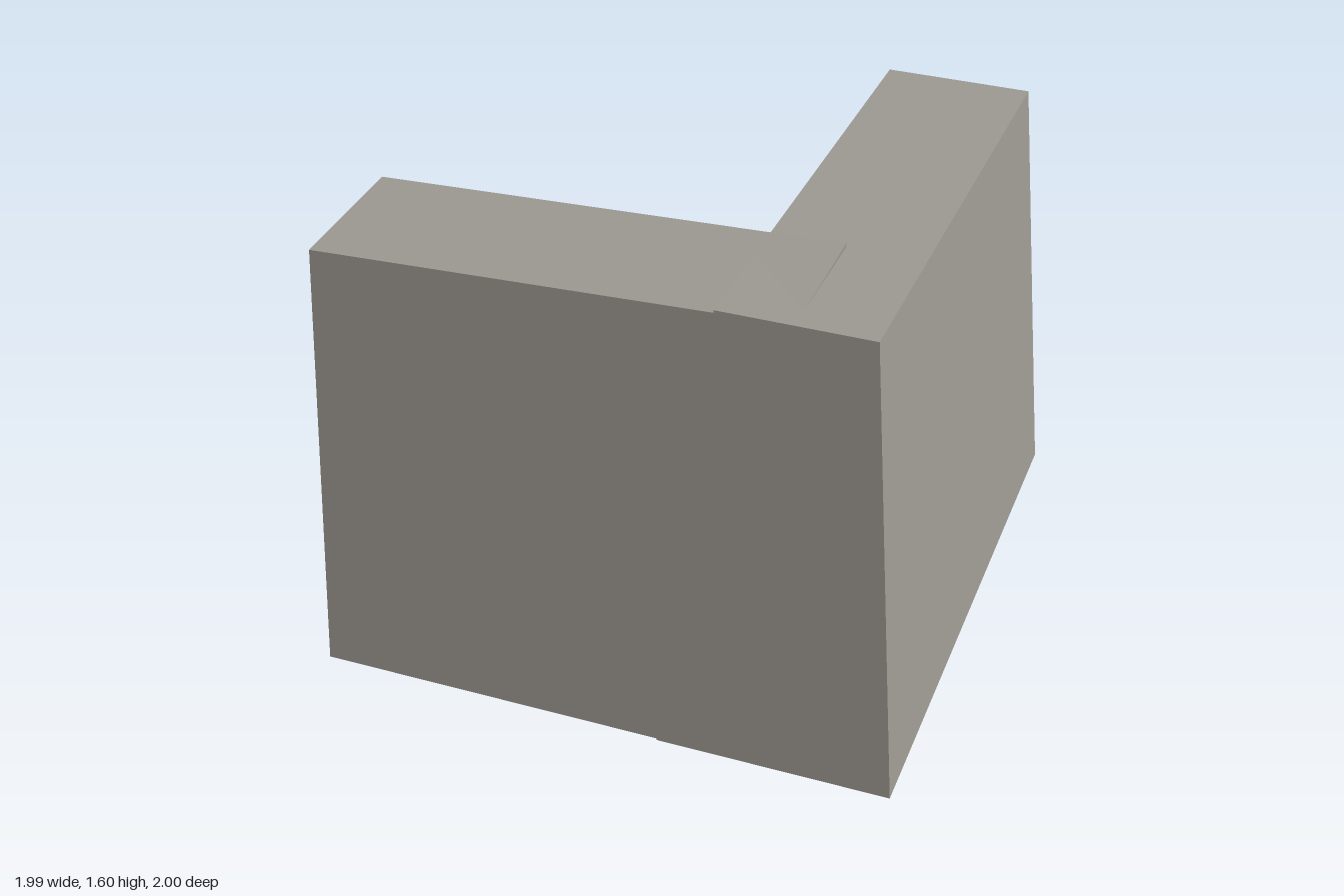
import * as THREE from 'three';

const stone = new THREE.MeshStandardMaterial({ color: 0x9d9992 });
stone.name = 'greyStone';

// Solid between two four-cornered ends; each end runs
// low left, low right, high right, high left as seen from the near end.
function wallGeometry(far, near) {
  const quads = [
    near,
    [far[1], far[0], far[3], far[2]],
    [near[3], near[2], far[2], far[3]], // top
    [far[0], far[1], near[1], near[0]], // bottom
    [near[1], far[1], far[2], near[2]],
    [far[0], near[0], near[3], far[3]],
  ];
  const points = quads.flatMap(([a, b, c, d]) => [a, b, c, a, c, d]).flat();
  const geometry = new THREE.BufferGeometry();
  geometry.setAttribute('position', new THREE.Float32BufferAttribute(points, 3));
  geometry.computeVertexNormals();
  return geometry;
}

export function createModel() {
  const group = new THREE.Group();
  group.name = 'cornerWall';

  // Tapered wall running front to back, with a battered front end
  const sideEnd = (zLow, zHigh, y) => [
    [0.2, 0, zLow], [0.993, 0, zLow], [0.847, y, zHigh], [0.342, y, zHigh],
  ];
  const sideWall = new THREE.Mesh(
    wallGeometry(sideEnd(-1, -1, 1.527), sideEnd(1, 0.853, 1.6)), stone);
  sideWall.name = 'sideWall';

  // Tapered wall running left to right, its end buried in the corner
  const frontEnd = (x, y) => [
    [x, 0, 0.993], [x, 0, 0.2], [x, y, 0.342], [x, y, 0.845],
  ];
  const frontWall = new THREE.Mesh(
    wallGeometry(frontEnd(-0.998, 1.53), frontEnd(0.59, 1.596)), stone);
  frontWall.name = 'frontWall';

  group.add(sideWall, frontWall);
  return group;
}
